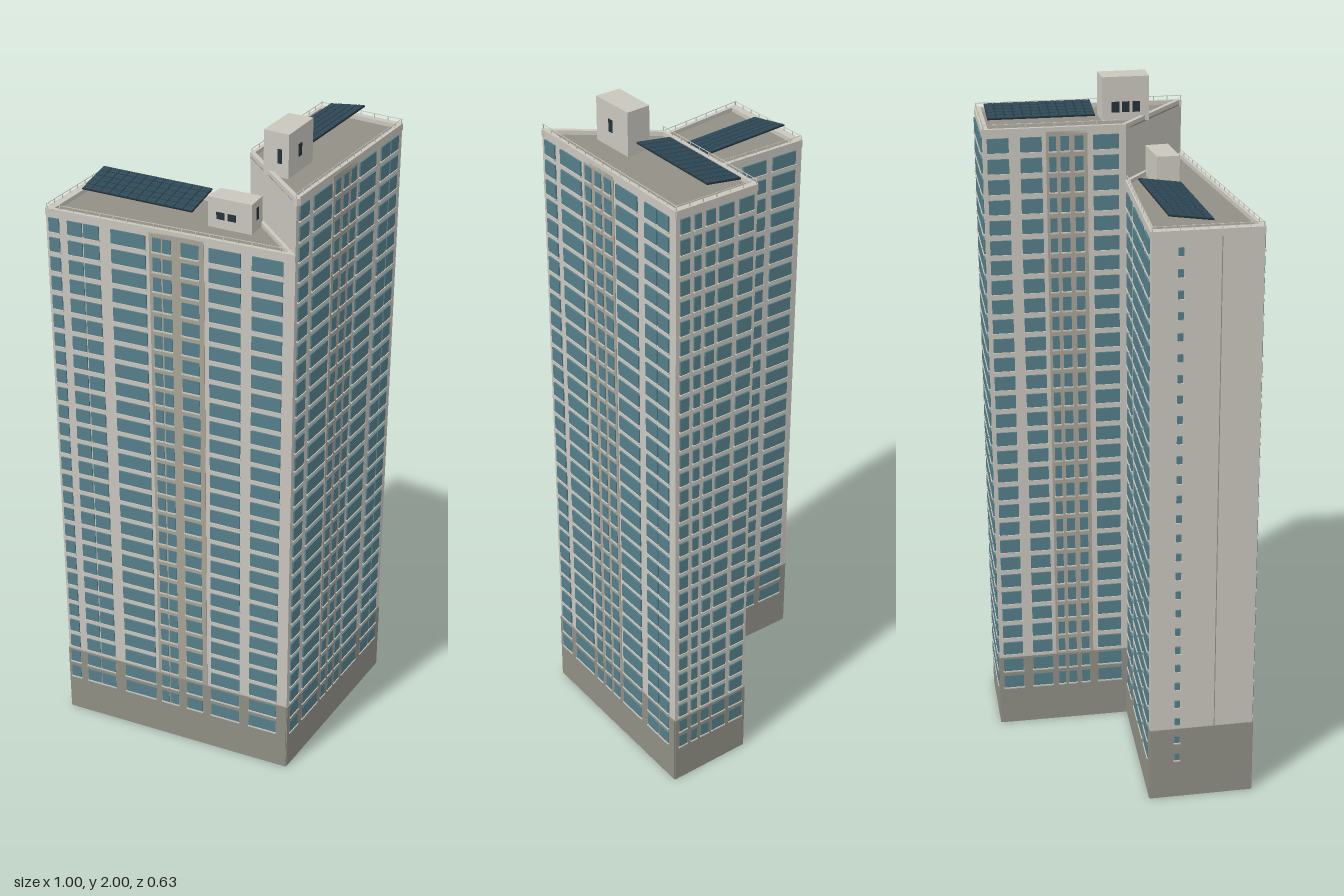
import * as THREE from 'three';
import { mergeGeometries } from 'three/addons/utils/BufferGeometryUtils.js';

const mat = (name, color) => {
  const m = new THREE.MeshStandardMaterial({ color });
  m.name = name;
  return m;
};
const M = {
  wall: mat('pale wall', 0xc9c6bd),
  concrete: mat('grey concrete', 0x918f85),
  bay: mat('beige bay', 0xa9a395),
  glass: mat('blue glass', 0x557f8a),
  panel: mat('solar panel', 0x2e4856),
  dark: mat('dark frame', 0x26323a),
};

// Plan corners (x, z)
const A = [-0.5, -0.055], B = [-0.32, -0.295], C = [0.055, 0], D = [0.135, 0.313];
const E = [0.295, -0.315], F = [0.498, -0.16];
const LOW = 1.73, HIGH = 1.888, FLOOR = 0.0585, FIRST = 0.125, PODIUM = 0.23;

function mesh(parent, name, geo, material) {
  const m = new THREE.Mesh(geo, material);
  m.name = name;
  parent.add(m);
  return m;
}

// Vertical prism over a plan outline
function prism(points, y0, y1) {
  const shape = new THREE.Shape(points.map(([x, z]) => new THREE.Vector2(x, -z)));
  return new THREE.ExtrudeGeometry(shape, { depth: y1 - y0, bevelEnabled: false })
    .rotateX(-Math.PI / 2).translate(0, y0, 0);
}

// Box given by its limits
function block(x0, x1, y0, y1, z0, z1) {
  return new THREE.BoxGeometry(x1 - x0, y1 - y0, z1 - z0)
    .translate((x0 + x1) / 2, (y0 + y1) / 2, (z0 + z1) / 2);
}

// Group whose x runs from p to q and whose z points out of the wall
function side(parent, name, p, q) {
  const g = new THREE.Group();
  g.name = name;
  g.position.set(p[0], 0, p[1]);
  g.rotation.y = Math.atan2(p[1] - q[1], q[0] - p[0]);
  g.userData.len = Math.hypot(q[0] - p[0], q[1] - p[1]);
  parent.add(g);
  return g;
}

// Facade with window columns, sills, podium skin, parapet and railing
function facade(parent, { name, p, q, top, cols, bay, parapet = 0.009, winH = 0.041 }) {
  const g = side(parent, name, p, q);
  const L = g.userData.len;
  mesh(g, 'podiumSkin', block(0, L, 0, PODIUM, -0.002, 0.003), M.concrete);
  if (bay) mesh(g, 'bayPanel', block(bay[0] * L, bay[1] * L, PODIUM, top - 0.012, -0.002, 0.002), M.bay);
  const glass = [], sills = [];
  const floors = Math.floor((top - FIRST) / FLOOR + 0.05);
  const pitch = (top - 0.008 - FIRST) / floors;
  for (let i = 0; i < floors; i++) {
    const y = FIRST + i * pitch;
    for (const [a, b] of cols) {
      glass.push(block(a * L, b * L, y, y + winH, 0, 0.0045));
      sills.push(block(a * L - 0.002, b * L + 0.002, y - 0.004, y, 0, 0.007));
    }
  }
  mesh(g, 'windows', mergeGeometries(glass), M.glass);
  mesh(g, 'sills', mergeGeometries(sills), M.wall);
  mesh(g, 'parapet', block(0, L, top - 0.02, top, -parapet, 0.002), M.wall);
  // Railing
  const rail = [block(0, L, top + 0.011, top + 0.0125, -0.004, -0.0025)];
  const n = Math.round(L / 0.04);
  for (let i = 0; i <= n; i++) {
    const x = 0.002 + (L - 0.004) * i / n;
    rail.push(block(x - 0.001, x + 0.001, top, top + 0.012, -0.004, -0.002));
  }
  mesh(g, 'railing', mergeGeometries(rail), M.wall);
  return g;
}

// Rooftop plant room with dark openings [face, start, end, y0, y1]
function plantRoom(parent, name, pts, y0, y1, openings) {
  const g = new THREE.Group();
  g.name = name;
  parent.add(g);
  mesh(g, 'plantRoomBody', prism(pts, y0, y1), M.wall);
  for (const [face, a, b, lo, hi] of openings) {
    const s = side(g, 'opening', pts[face], pts[(face + 1) % 4]);
    const L = s.userData.len;
    mesh(s, 'openingPlate', block(a * L, b * L, lo, hi, -0.001, 0.002), M.dark);
  }
}

// Tilted solar array: high edge from a to b, low edge starting at c
function solarArray(parent, name, a, b, c, yHigh, yLow, nu, nv) {
  const o = new THREE.Vector3(a[0], yHigh, a[1]);
  const u = new THREE.Vector3(b[0], yHigh, b[1]).sub(o);
  const v = new THREE.Vector3(c[0], yLow, c[1]).sub(o);
  const lu = u.length(), lv = v.length();
  u.normalize();
  const n = new THREE.Vector3().crossVectors(v, u).normalize();
  const down = n.y > 0 ? 1 : -1;
  n.multiplyScalar(down);
  // Right-handed basis with z along the surface normal
  const w = new THREE.Vector3().crossVectors(n, u);
  const sgn = Math.sign(w.dot(v));
  const g = new THREE.Group();
  g.name = name;
  g.applyMatrix4(new THREE.Matrix4().makeBasis(u, w, n).setPosition(o));
  parent.add(g);
  const slab = (x0, x1, y0, y1, z0, z1) =>
    block(x0, x1, Math.min(y0 * sgn, y1 * sgn), Math.max(y0 * sgn, y1 * sgn), z0, z1);
  mesh(g, 'arrayFrame', slab(0, lu, 0, lv, -0.004, 0), M.dark);
  const cells = [];
  const gap = 0.0015, du = lu / nu, dv = lv / nv;
  for (let i = 0; i < nu; i++) for (let j = 0; j < nv; j++)
    cells.push(slab(i * du + gap, (i + 1) * du - gap, j * dv + gap, (j + 1) * dv - gap, -0.001, 0.0015));
  mesh(g, 'arrayCells', mergeGeometries(cells), M.panel);
}

function wing(parent, name, outline, top) {
  const g = new THREE.Group();
  g.name = name;
  parent.add(g);
  mesh(g, 'wingBody', prism(outline, 0, top - 0.016), M.wall);
  mesh(g, 'roofDeck', prism(outline, top - 0.016, top - 0.012), M.concrete);
  mesh(g, 'base', prism(outline, -0.0005, 0.001).translate(0, 0.0005, 0), M.concrete);
  return g;
}

export function createModel() {
  const model = new THREE.Group();
  model.name = 'apartmentTower';

  // Lower wing
  const low = wing(model, 'lowerWing', [A, D, C, B], LOW);
  facade(low, { name: 'lowerFront', p: A, q: D, top: LOW, bay: [0.425, 0.645],
    cols: [[0.012, 0.055], [0.09, 0.15], [0.157, 0.22], [0.27, 0.41], [0.44, 0.472], [0.48, 0.515],
      [0.555, 0.625], [0.665, 0.79], [0.835, 0.955]] });
  facade(low, { name: 'lowerBack', p: C, q: B, top: LOW,
    cols: [[0.08, 0.17], [0.21, 0.27], [0.36, 0.52], [0.56, 0.73], [0.78, 0.95]] });
  const gable = facade(low, { name: 'lowerEnd', p: B, q: A, top: LOW, parapet: 0.022, winH: 0.022,
    cols: [[0.235, 0.285]] });
  const gl = gable.userData.len;
  mesh(gable, 'wallSeam', block(gl * 0.62, gl * 0.62 + 0.002, PODIUM, LOW - 0.02, 0, 0.002), M.concrete);

  // Taller wing
  const high = wing(model, 'tallerWing', [C, D, F, E], HIGH);
  facade(high, { name: 'tallerFront', p: D, q: F, top: HIGH, bay: [0.33, 0.555],
    cols: [[0.025, 0.105], [0.15, 0.31], [0.345, 0.39], [0.42, 0.465], [0.49, 0.54], [0.575, 0.73],
      [0.785, 0.87], [0.88, 0.955]] });
  facade(high, { name: 'tallerEnd', p: F, q: E, top: HIGH, parapet: 0.016,
    cols: [[0.05, 0.16], [0.22, 0.3], [0.36, 0.47], [0.52, 0.7], [0.77, 0.95]] });
  facade(high, { name: 'tallerBack', p: E, q: C, top: HIGH, bay: [0.44, 0.73],
    cols: [[0.03, 0.18], [0.26, 0.41], [0.46, 0.51], [0.54, 0.6], [0.64, 0.7], [0.77, 0.95]] });
  const party = side(high, 'partyWall', C, D);
  mesh(party, 'partyParapet', block(0, party.userData.len, HIGH - 0.02, HIGH, -0.012, 0), M.wall);
  mesh(party, 'partyKerb', block(0.012, party.userData.len - 0.012, LOW - 0.02, LOW, 0, 0.01), M.wall);

  // Rooftop rooms
  plantRoom(model, 'lowerPlantRoom', [[-0.07, 0.085], [0.04, 0.155], [0.075, 0.1], [-0.03, 0.035]],
    LOW - 0.014, 1.805, [[0, 0.2, 0.38, 1.745, 1.765], [0, 0.46, 0.64, 1.745, 1.765], [1, 0.42, 0.6, 1.75, 1.785]]);
  plantRoom(model, 'tallerPlantRoom', [[0.075, 0.115], [0.135, 0.16], [0.215, 0.05], [0.155, 0.01]],
    HIGH - 0.014, 2, [[0, 0.57, 0.73, 1.915, 1.955], [1, 0.4, 0.52, 1.92, 1.955],
      [3, 0.2, 0.36, 1.9, 1.93], [3, 0.42, 0.58, 1.9, 1.93], [3, 0.64, 0.8, 1.9, 1.93]]);

  // Solar arrays
  solarArray(model, 'lowerSolarArray', [-0.33, -0.24], [-0.043, -0.053], [-0.396, -0.138], 1.765, 1.746, 12, 5);
  solarArray(model, 'tallerSolarArray', [0.4, -0.212], [0.22, 0.025], [0.315, -0.277], 1.924, 1.908, 12, 5);
  return model;
}
